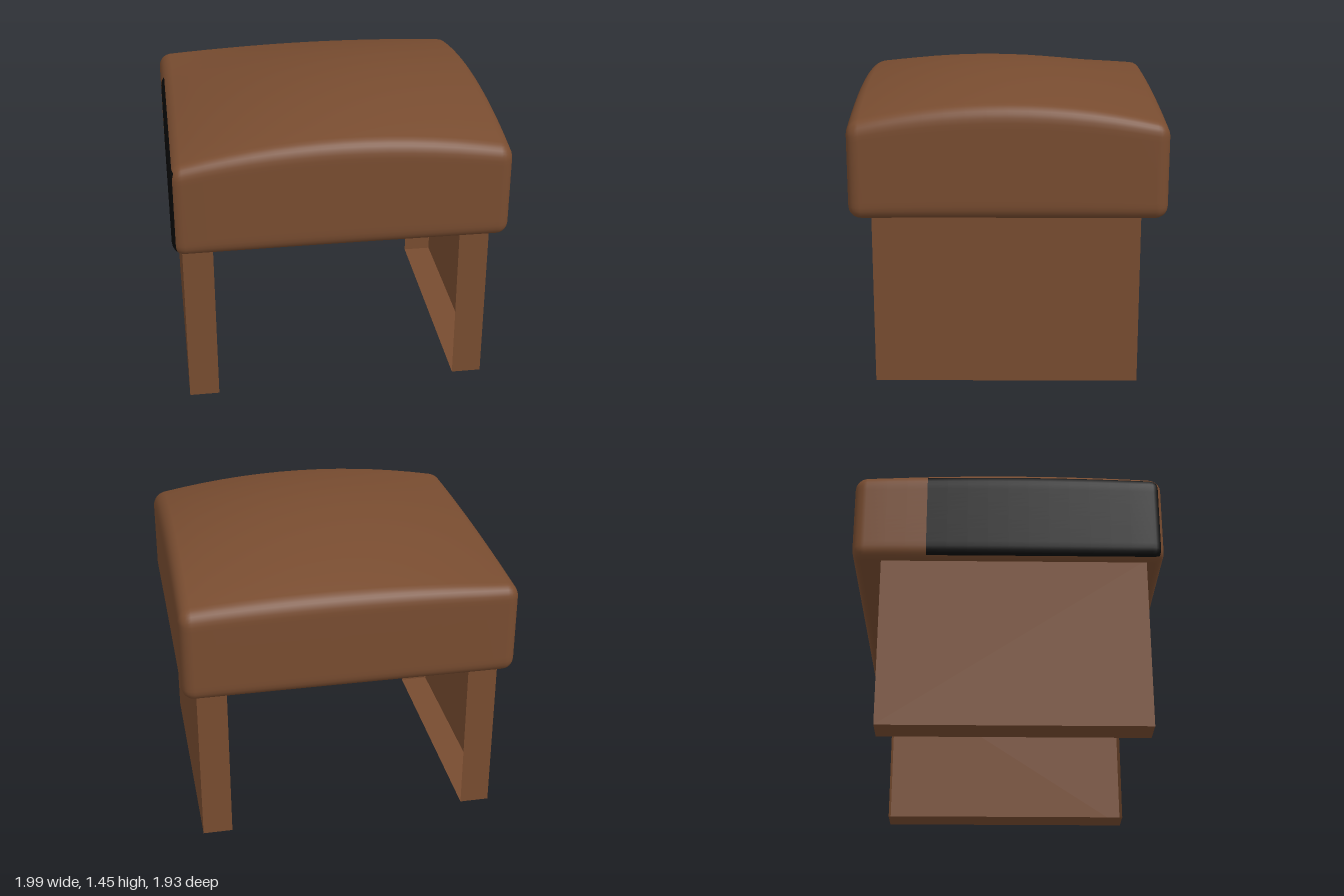
import * as THREE from 'three';
import { mergeVertices } from 'three/addons/utils/BufferGeometryUtils.js';

const brown = new THREE.MeshStandardMaterial({ color: 0x784c30, side: THREE.DoubleSide });
brown.name = 'brown leather';
const black = new THREE.MeshStandardMaterial({ color: 0x0a0a0a });
black.name = 'black panel';

// Rounded block with a domed top; the dome leans towards the front and left
function cushionGeometry(width, height, depth, radius) {
  const N = 20, BAND = 3; // grid steps per side, steps inside the rounded edge
  const half = new THREE.Vector3(width / 2, height / 2, depth / 2);
  const geo = new THREE.BoxGeometry(2, 2, 2, N, N, N);
  const pos = geo.attributes.position;

  // Squeeze the outer grid steps into the rounded edge
  const place = (t, h) => {
    const k = Math.abs(t) * N / 2, flat = N / 2 - BAND;
    const d = k <= flat ? (h - radius) * k / flat : h - radius + radius * (k - flat) / BAND;
    return Math.sign(t) * d;
  };
  const p = new THREE.Vector3(), core = new THREE.Vector3();
  const inner = half.clone().subScalar(radius), innerNeg = inner.clone().negate();
  for (let i = 0; i < pos.count; i++) {
    p.set(place(pos.getX(i), half.x), place(pos.getY(i), half.y), place(pos.getZ(i), half.z));
    core.copy(p).clamp(innerNeg, inner);
    p.sub(core).setLength(radius).add(core);
    const u = p.x / half.x, v = p.z / half.z;
    const a = 1 - u * u, b = 1 - v * v;
    const rise = 0.06 * a * b + a * (0.05 + 0.03 * v) + b * (0.05 + 0.035 * u);
    p.y += rise * (p.y + half.y) / height;
    pos.setXYZ(i, p.x, p.y, p.z);
  }

  // Black area: the right side, from near the back to the front corner
  const side = geo.groups[1], index = geo.index.array;
  const main = [], dark = [];
  for (let i = 0; i < index.length; i += 3) {
    const tri = [index[i], index[i + 1], index[i + 2]];
    const z = (pos.getZ(tri[0]) + pos.getZ(tri[1]) + pos.getZ(tri[2])) / 3;
    const onSide = i >= side.start && i < side.start + side.count;
    (onSide && z > -0.39 ? dark : main).push(...tri);
  }
  geo.setIndex([...main, ...dark]);
  geo.clearGroups();
  geo.deleteAttribute('normal');
  geo.deleteAttribute('uv');
  const smooth = mergeVertices(geo, 1e-4);
  smooth.computeVertexNormals();
  smooth.clearGroups();
  smooth.addGroup(0, main.length, 0);
  smooth.addGroup(main.length, dark.length, 1);
  return smooth;
}

// Thin-walled box with its inward side left open (0 = +x, 1 = -x)
function openLeg(name, openSide, x, z) {
  const geo = new THREE.BoxGeometry(0.145, 0.85, 1.265);
  const kept = [];
  geo.groups.forEach((g, i) => {
    if (i !== openSide) kept.push(...geo.index.array.slice(g.start, g.start + g.count));
  });
  geo.setIndex(kept);
  geo.clearGroups();
  const leg = new THREE.Mesh(geo, brown);
  leg.name = name;
  leg.position.set(x, 0.425, z);
  return leg;
}

export function createModel() {
  const model = new THREE.Group();
  model.name = 'footstool';

  const stool = new THREE.Group();
  stool.name = 'turnedStool';
  stool.rotation.y = 0.362;
  model.add(stool);

  // Cushion
  const bottom = 0.835, height = 0.45;
  const cushion = new THREE.Mesh(cushionGeometry(1.6, height, 1.49, 0.06), [brown, black]);
  cushion.name = 'cushion';
  cushion.position.y = bottom + height / 2;
  stool.add(cushion);

  // Panel legs, open towards each other
  stool.add(openLeg('rightLeg', 0, -0.682, 0.027));
  stool.add(openLeg('leftLeg', 1, 0.655, 0.008));

  return model;
}
